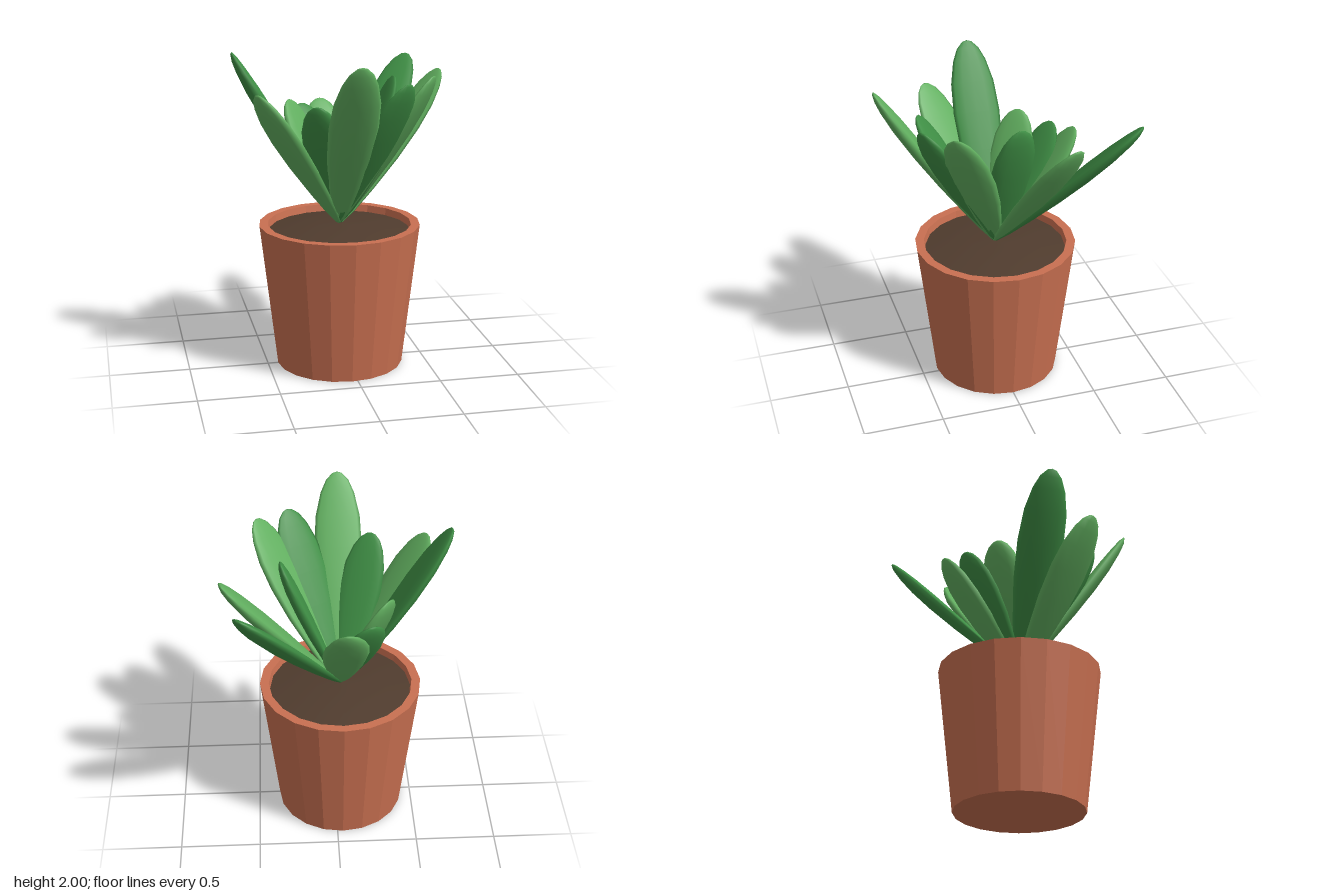
import * as THREE from 'three';
import { mergeVertices } from 'three/addons/utils/BufferGeometryUtils.js';

const v2 = (p) => new THREE.Vector2(p[0], p[1]);

// One leaf of unit length along +y: flat inner face (+z), rounder outer face (-z)
function leafGeometry() {
  const profile = [[0, 0], [0.022, 0.015], [0.06, 0.1], [0.098, 0.25], [0.135, 0.45],
    [0.149, 0.64], [0.138, 0.79], [0.105, 0.9], [0.07, 0.96], [0.03, 0.993], [0, 1]].map(v2);
  let geo = new THREE.LatheGeometry(profile, 12);
  const pos = geo.attributes.position;
  for (let i = 0; i < pos.count; i++) {
    const z = pos.getZ(i);
    pos.setZ(i, z * (z > 0 ? 0.2 : 0.4));
  }
  geo.deleteAttribute('uv');
  geo.deleteAttribute('normal');
  geo = mergeVertices(geo, 1e-4);
  geo.computeVertexNormals();
  return geo;
}

export function createModel() {
  const group = new THREE.Group();
  const mat = (name, color, flatShading = false) => {
    const m = new THREE.MeshStandardMaterial({ color, flatShading });
    m.name = name;
    return m;
  };
  const terracotta = mat('terracotta', 0xc97051, true);
  const soilBrown = mat('soilBrown', 0x503c2e);
  const lightGreen = mat('lightGreen', 0x62b060);
  const darkGreen = mat('darkGreen', 0x3f8f45);
  const centreX = -0.035;

  // Tapered pot with a flat rim and a short inner wall
  const pot = new THREE.Mesh(new THREE.LatheGeometry(
    [[0, 0], [0.4, 0], [0.505, 0.91], [0.45, 0.91], [0.44, 0.85]].map(v2), 20), terracotta);
  pot.name = 'pot';
  pot.position.x = centreX;
  group.add(pot);

  // Slightly domed soil
  const soil = new THREE.Mesh(new THREE.LatheGeometry(
    [[0.445, 0.865], [0.3, 0.888], [0.15, 0.902], [0, 0.907]].map(v2), 20), soilBrown);
  soil.name = 'soil';
  soil.position.x = centreX;
  group.add(soil);

  // Leaves fan out from one point; each entry is a tip position and its colour
  const base = new THREE.Vector3(centreX, 0.905, 0);
  const up = new THREE.Vector3(0, 1, 0);
  const leafGeo = leafGeometry();
  const leaves = [
    [0.56, 1.86, -0.70, darkGreen], [0.67, 1.82, -0.27, lightGreen],
    [0.32, 1.82, -0.05, darkGreen], [0.46, 1.88, 0.37, lightGreen],
    [0.27, 1.86, 0.52, darkGreen], [-0.05, 2.0, 0.73, lightGreen],
    [-0.25, 1.73, 0.43, darkGreen], [-0.58, 1.79, 0.30, lightGreen],
    [-0.69, 2.0, -0.01, darkGreen], [-0.31, 1.66, -0.24, lightGreen],
    [-0.20, 1.60, -0.42, darkGreen], [-0.06, 1.61, -0.52, lightGreen],
  ];
  leaves.forEach(([x, y, z, material], i) => {
    const along = new THREE.Vector3(x, y, z).sub(base);
    const length = along.length();
    along.normalize();
    const across = along.clone().cross(up).normalize();
    const inner = across.clone().cross(along);
    const leaf = new THREE.Mesh(leafGeo, material);
    leaf.name = `leaf${i + 1}`;
    leaf.quaternion.setFromRotationMatrix(new THREE.Matrix4().makeBasis(across, along, inner));
    leaf.position.copy(base);
    const w = length < 1 ? 0.93 : 1;
    leaf.scale.set(w, length, w);
    group.add(leaf);
  });
  return group;
}
